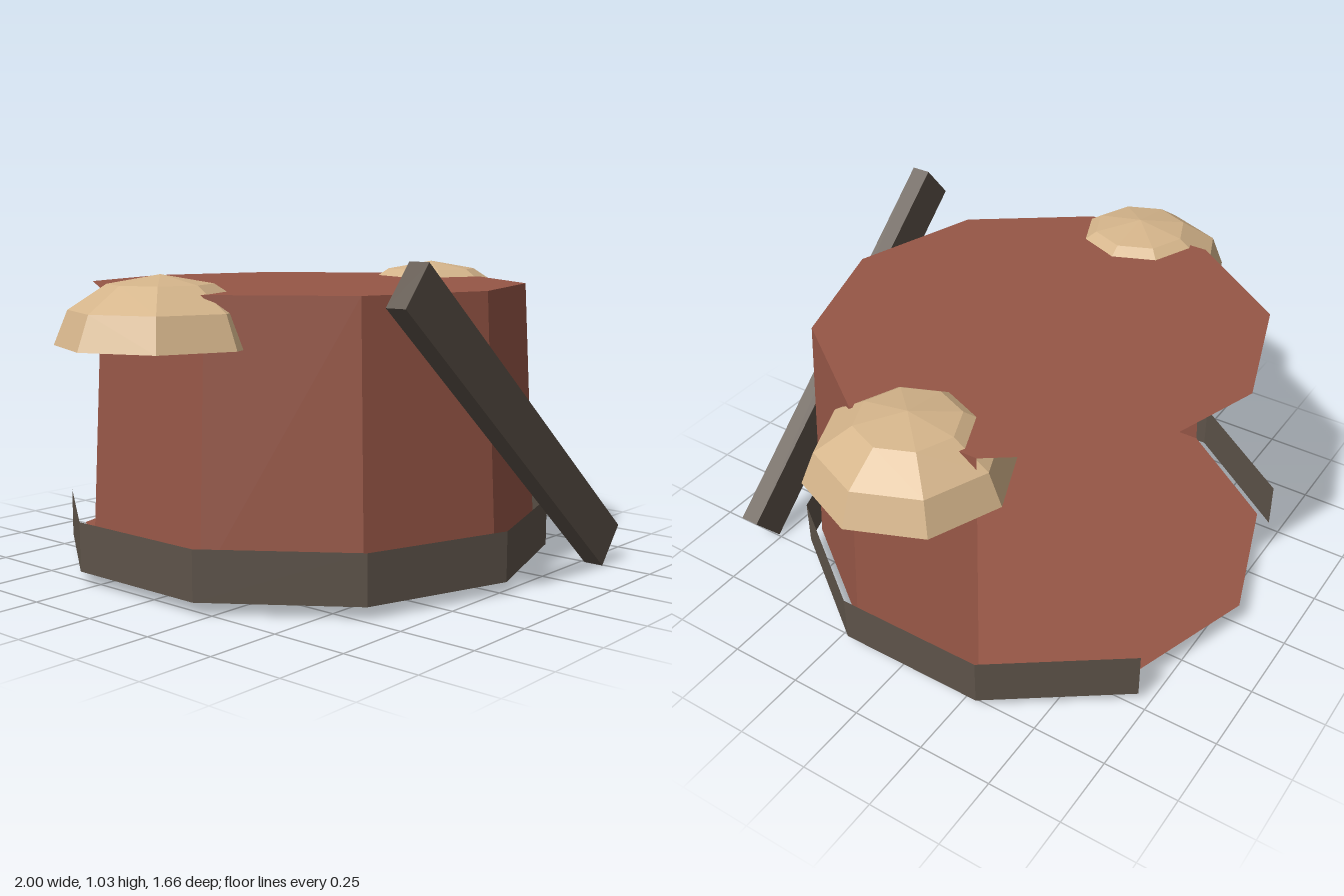
import * as THREE from 'three';

const SIDES = 10;
const STEP = (Math.PI * 2) / SIDES;

export function createModel() {
  const model = new THREE.Group();

  const material = (name, color) => {
    const m = new THREE.MeshStandardMaterial({ color, flatShading: true, side: THREE.DoubleSide });
    m.name = name;
    return m;
  };
  const leather = material('red brown leather', 0x965646);
  const strap = material('dark grey brown', 0x5d5349);
  const tan = material('tan', 0xd4b48a);

  const add = (name, geometry, mat, x, y, z) => {
    const mesh = new THREE.Mesh(geometry, mat);
    mesh.name = name;
    mesh.position.set(x, y, z);
    model.add(mesh);
    return mesh;
  };

  // Ten-sided wall, left open at the back by leaving out some sides
  const openWall = (rTop, rBottom, height, count) =>
    new THREE.CylinderGeometry(rTop, rBottom, height, count, 1, true, (-count / 2) * STEP, count * STEP);

  // Full ten-sided plate with a corner facing front and back
  const plate = (radius) => new THREE.CircleGeometry(radius, SIDES, Math.PI / 2).rotateX(-Math.PI / 2);

  // Torso: open-backed wall between a top and a bottom plate
  const zc = -0.048, bottom = 0.085, top = 0.932;
  add('torsoWall', openWall(0.735, 0.78, top - bottom, 6), leather, 0, (top + bottom) / 2, zc);
  add('torsoTop', plate(0.735), leather, 0, top, zc);
  add('torsoBottom', plate(0.78), leather, 0, bottom, zc);

  // Belt around the lower edge, with a gap at the back
  add('belt', openWall(0.825, 0.825, 0.16, 8), strap, 0, 0.122, -0.05);

  // Diagonal chest strap
  const sash = add('chestStrap', new THREE.BoxGeometry(1.423, 0.157, 0.067), strap, 0, 0.52, 0.797);
  sash.rotation.z = THREE.MathUtils.degToRad(-40);

  // Hollow shoulder domes
  for (const side of [-1, 1]) {
    const dome = new THREE.SphereGeometry(0.32, 8, 3, 0, Math.PI * 2, 0, Math.PI / 2).scale(1, 0.656, 1);
    add(side > 0 ? 'leftShoulderPad' : 'rightShoulderPad', dome, tan, side * 0.68, 0.775, -0.025);
  }

  return model;
}
